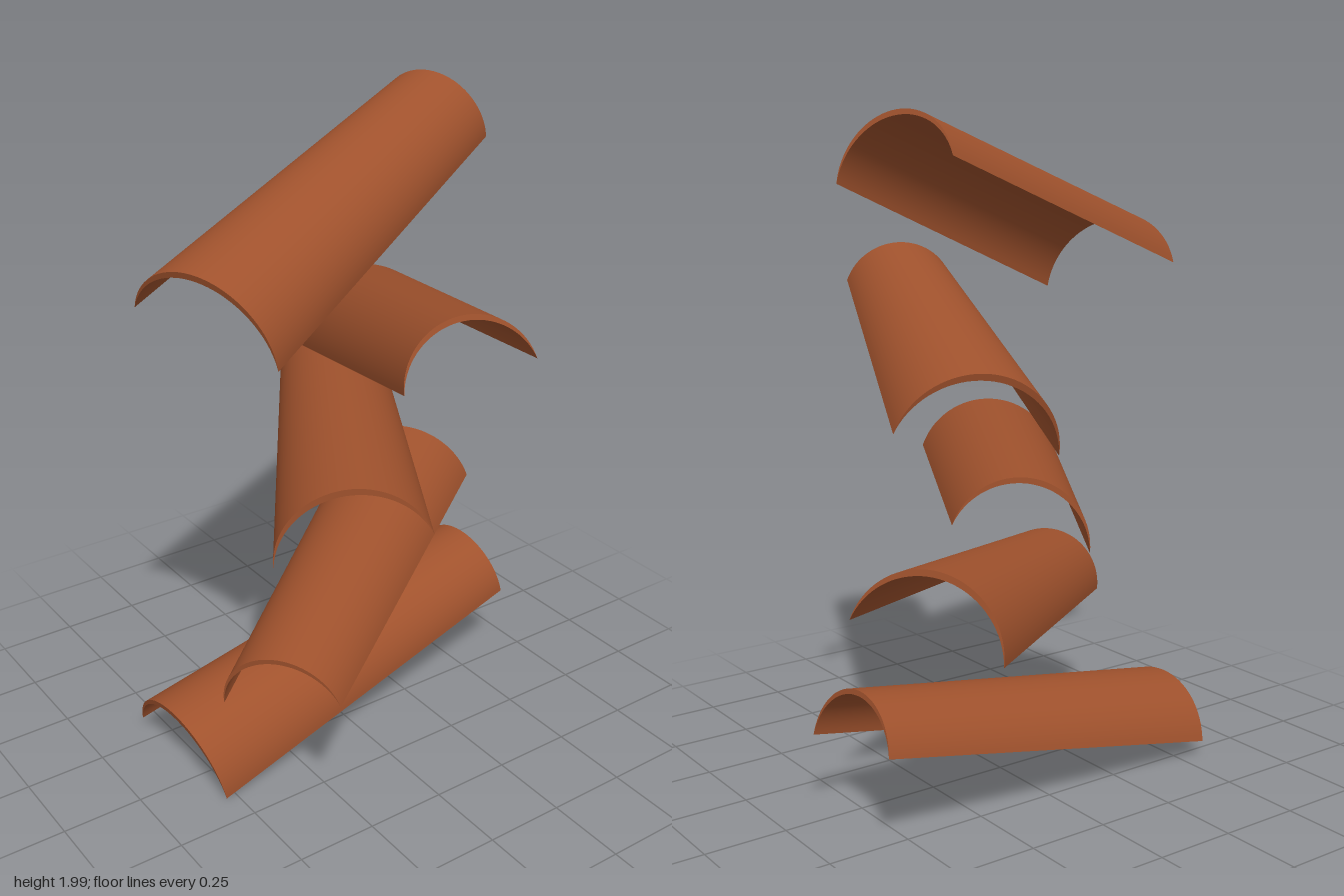
import * as THREE from 'three';
import { toCreasedNormals } from 'three/addons/utils/BufferGeometryUtils.js';

const LENGTH = 1.212, WIDE = 0.226, NARROW = 0.179; // half widths at the two ends
const OUTER_RISE = 0.885, INNER_RISE = 0.8, STEPS = 36;

// Point on a circular arc from (1, 0) over (0, rise) to (-1, 0)
function arcPoint(rise, t) {
  const half = 2 * Math.atan(rise), r = 1 / Math.sin(half);
  const a = Math.PI / 2 + half * (2 * t - 1);
  return new THREE.Vector2(r * Math.cos(a), r * Math.sin(a) - r * Math.cos(half));
}

// Arched, tapering roof tile: crescent section, wide end at +z
function tileGeometry() {
  const points = [];
  for (let i = 0; i <= STEPS; i++) points.push(arcPoint(OUTER_RISE, i / STEPS));
  for (let i = STEPS - 1; i > 0; i--) points.push(arcPoint(INNER_RISE, i / STEPS));
  const geo = new THREE.ExtrudeGeometry(new THREE.Shape(points), { depth: LENGTH, bevelEnabled: false });
  const pos = geo.attributes.position;
  for (let i = 0; i < pos.count; i++) {
    const z = pos.getZ(i);
    const s = THREE.MathUtils.lerp(NARROW, WIDE, z / LENGTH);
    pos.setXYZ(i, pos.getX(i) * s, pos.getY(i) * s, z - LENGTH / 2);
  }
  return toCreasedNormals(geo, 0.6);
}

// Each tile, bottom to top: middle of wide end, middle of narrow end, sideways direction
const TILES = [
  [[-0.555, 0.033, -0.078], [0.628, 0.285, -0.16], [0.038, -0.043, 0.4]],
  [[0.49, 0.603, -0.335], [-0.48, 0.465, 0.38], [-0.23, -0.078, -0.325]],
  [[-0.258, 0.893, 0.415], [0.383, 0.935, -0.618], [0.335, 0.088, 0.207]],
  [[0.388, 1.148, -0.435], [-0.065, 1.45, 0.65], [-0.37, -0.073, -0.14]],
  [[-0.55, 1.505, 0.16], [0.53, 1.848, -0.27], [0.17, -0.083, 0.36]],
];

export function createModel() {
  const group = new THREE.Group();
  group.name = 'roofTiles';
  const terracotta = new THREE.MeshStandardMaterial({ color: 0xa0522d });
  terracotta.name = 'terracotta';
  const geo = tileGeometry();

  TILES.forEach(([wide, narrow, sideways], i) => {
    const a = new THREE.Vector3(...wide), b = new THREE.Vector3(...narrow);
    const back = a.clone().sub(b).normalize();
    const up = back.clone().cross(new THREE.Vector3(...sideways)).normalize();
    const side = up.clone().cross(back);
    const tile = new THREE.Mesh(geo, terracotta);
    tile.name = `roofTile${i + 1}`;
    tile.quaternion.setFromRotationMatrix(new THREE.Matrix4().makeBasis(side, up, back));
    tile.position.copy(a).add(b).multiplyScalar(0.5);
    group.add(tile);
  });
  return group;
}
